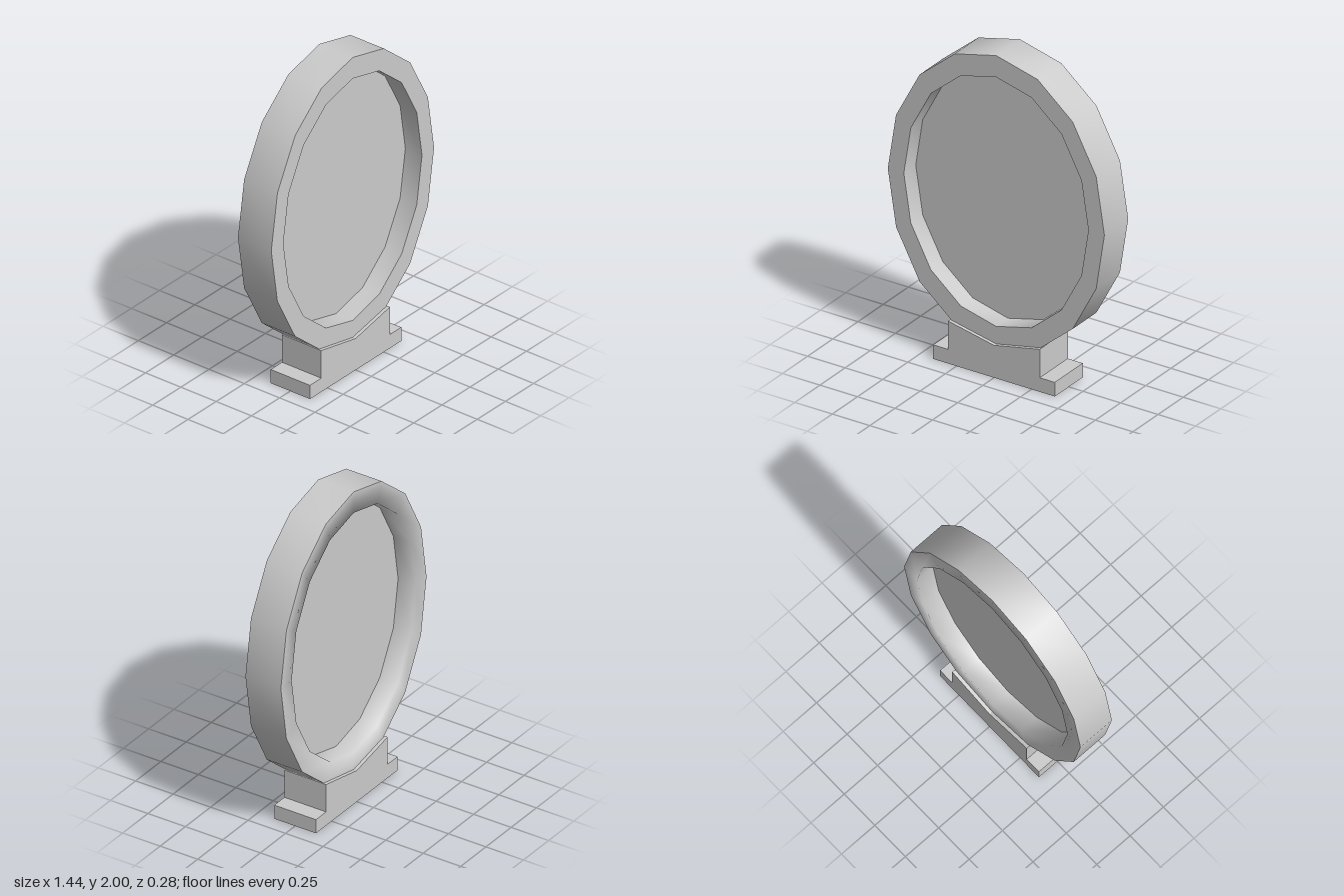
import * as THREE from 'three';

const SIDES = 16, CY = 1.088, RX = 0.722, RY = 0.912, INNER = 0.852;
const ZR = 0.118, ZB = 0.139;

// Skin a list of [scale, z] ovals; normals are smooth within one call
function ovalBand(sections) {
  const pos = [], idx = [];
  for (const [s, z] of sections)
    for (let i = 0; i < SIDES; i++) {
      const a = (i / SIDES) * Math.PI * 2;
      pos.push(RX * s * Math.sin(a), CY + RY * s * Math.cos(a), z);
    }
  for (let k = 0; k < sections.length - 1; k++)
    for (let i = 0; i < SIDES; i++) {
      const a = k * SIDES + i, b = k * SIDES + (i + 1) % SIDES;
      idx.push(a, a + SIDES, b, b, a + SIDES, b + SIDES);
    }
  const g = new THREE.BufferGeometry();
  g.setAttribute('position', new THREE.Float32BufferAttribute(pos, 3));
  g.setIndex(idx);
  g.computeVertexNormals();
  return g;
}

export function createModel() {
  const model = new THREE.Group();
  const mat = new THREE.MeshStandardMaterial({ color: 0xcccccc, side: THREE.DoubleSide });
  const add = (parent, geo, name) => {
    const mesh = new THREE.Mesh(geo, mat);
    mesh.name = name;
    parent.add(mesh);
    return mesh;
  };

  // Oval frame: crisp front edges, softly shaded back lip
  const frame = new THREE.Group();
  frame.name = 'frame';
  model.add(frame);
  add(frame, ovalBand([[1, -ZR], [1, ZR]]), 'frameOuterWall');
  add(frame, ovalBand([[1, ZR], [INNER, ZR]]), 'frameFront');
  add(frame, ovalBand([[INNER, ZR], [INNER, 0]]), 'frameInnerWall');
  add(frame, ovalBand([[INNER, 0], [INNER, -ZR], [1, -ZR]]), 'frameBack');

  // Flat panel in the middle of the frame
  const panel = new THREE.CircleGeometry(1, SIDES, Math.PI / 2);
  panel.scale(RX * INNER, RY * INNER, 1);
  panel.translate(0, CY, 0);
  add(model, panel, 'panel');

  // Stand: stepped foot with a V-shaped cradle on top, open underneath
  const stand = new THREE.Group();
  stand.name = 'stand';
  model.add(stand);
  const outline = [[0.405, 0], [0.405, 0.088], [0.305, 0.088], [0.305, 0.265], [0, 0.202],
    [-0.305, 0.265], [-0.305, 0.088], [-0.405, 0.088], [-0.405, 0]].map(p => new THREE.Vector2(...p));
  const front = new THREE.ShapeGeometry(new THREE.Shape(outline));
  add(stand, front, 'standFront').position.z = ZB;
  const back = add(stand, front, 'standBack');
  back.rotation.y = Math.PI;
  back.position.z = -ZB;
  const walls = [];
  for (let i = 0; i < outline.length - 1; i++) {
    const a = outline[i], b = outline[i + 1];
    walls.push(a.x, a.y, ZB, a.x, a.y, -ZB, b.x, b.y, -ZB);
    walls.push(a.x, a.y, ZB, b.x, b.y, -ZB, b.x, b.y, ZB);
  }
  const wallGeo = new THREE.BufferGeometry();
  wallGeo.setAttribute('position', new THREE.Float32BufferAttribute(walls, 3));
  wallGeo.computeVertexNormals();
  add(stand, wallGeo, 'standWalls');

  return model;
}
